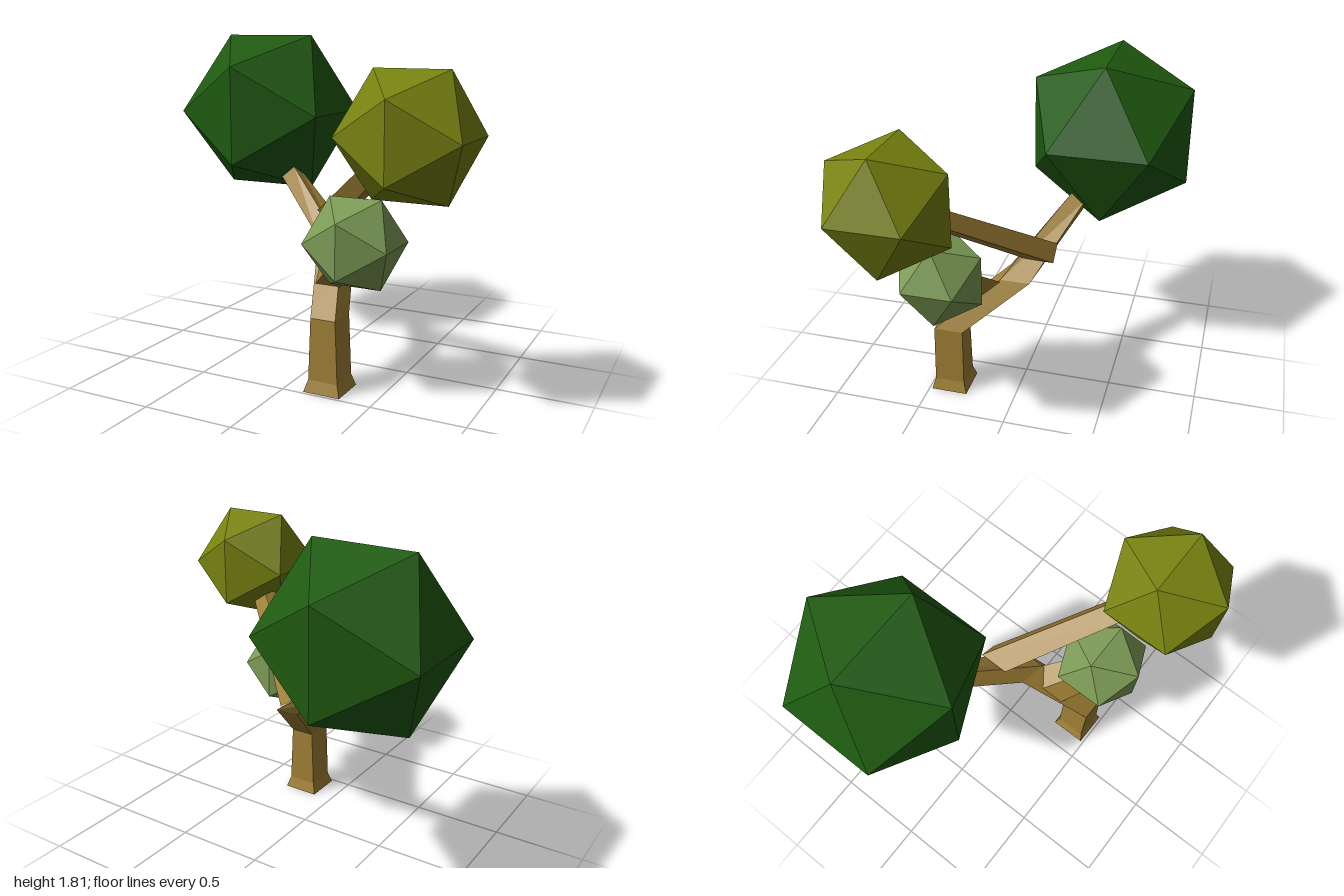
import * as THREE from 'three';

const material = (color) => new THREE.MeshStandardMaterial({ color, flatShading: true });

// Level rectangular cross-section: front left, front right, back right, back left
const rect = (x, y, z, hx, hz) => [
  [x - hx, y, z + hz], [x + hx, y, z + hz], [x + hx, y, z - hz], [x - hx, y, z - hz],
];

// Copy of a four-cornered section, moved by an offset and scaled about its centre
function shifted(ring, offset, scale) {
  const mid = [0, 1, 2].map((i) => ring.reduce((s, p) => s + p[i], 0) / 4);
  return ring.map((p) => p.map((v, i) => mid[i] + offset[i] + (v - mid[i]) * scale));
}

// Closed faceted beam through a list of four-cornered sections
function loft(rings) {
  const pos = [];
  const quad = (a, b, c, d) => pos.push(...a, ...b, ...c, ...a, ...c, ...d);
  for (let i = 0; i < rings.length - 1; i++) {
    for (let k = 0; k < 4; k++) {
      const n = (k + 1) % 4;
      quad(rings[i][k], rings[i][n], rings[i + 1][n], rings[i + 1][k]);
    }
  }
  quad(...[...rings[0]].reverse());
  quad(...rings[rings.length - 1]);
  const geometry = new THREE.BufferGeometry();
  geometry.setAttribute('position', new THREE.Float32BufferAttribute(pos, 3));
  geometry.computeVertexNormals();
  return geometry;
}

export function createModel() {
  const tree = new THREE.Group();
  tree.name = 'tree';
  const add = (name, geometry, mat) => {
    const mesh = new THREE.Mesh(geometry, mat);
    mesh.name = name;
    tree.add(mesh);
    return mesh;
  };
  const bark = material(0xa08035);

  // Trunk with a flared foot, leaning back and bending into the largest branch
  add('trunk', loft([
    rect(0.217, 0, 0.38, 0.103, 0.104),
    rect(0.217, 0.065, 0.38, 0.083, 0.085),
    rect(0.217, 0.4, 0.38, 0.07, 0.083),
    [[0, 0.72, 0.088], [0.155, 0.70, 0.11], [0.155, 0.70, -0.057], [0, 0.72, -0.08]],
    [[-0.39, 1.01, -0.185], [-0.30, 1.06, -0.185], [-0.30, 1.03, -0.27], [-0.39, 0.98, -0.27]],
  ]), bark);

  // Branch to the upper left crown
  const fork = [[-0.05, 0.86, 0], [0.04, 0.79, 0], [0.05, 0.79, -0.165], [-0.05, 0.86, -0.165]];
  add('leftBranch', loft([fork, shifted(fork, [0.5, 0.395, 0.42], 0.8)]), bark);

  // Short branch to the lowest crown
  const stub = [[0.09, 0.53, 0.3], [0.235, 0.53, 0.3], [0.16, 0.69, 0.11], [0.05, 0.62, 0.17]];
  add('lowerBranch', loft([stub, shifted(stub, [0.15, 0.15, 0.14], 0.8)]), bark);

  // Faceted leaf crowns
  for (const [name, radius, color, ...centre] of [
    ['largeCrown', 0.528, 0x1f5a10, -0.551, 1.365, -0.355],
    ['leftCrown', 0.3645, 0x77820f, 0.687, 1.365, 0.495],
    ['lowerCrown', 0.27, 0x7c9a55, 0.357, 0.8, 0.38],
  ]) {
    add(name, new THREE.IcosahedronGeometry(radius, 0), material(color)).position.set(...centre);
  }
  return tree;
}
